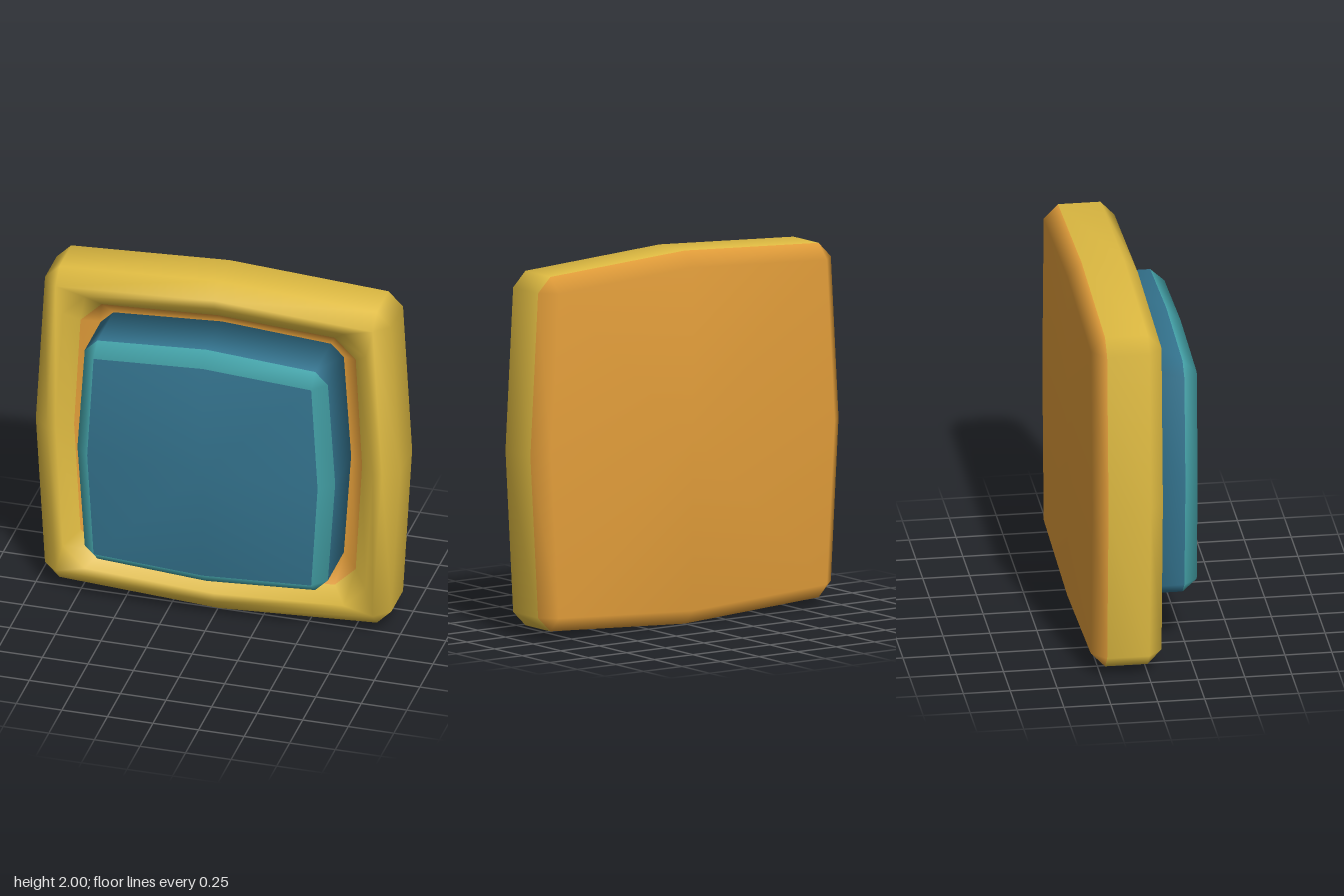
import * as THREE from 'three';
import { mergeVertices } from 'three/addons/utils/BufferGeometryUtils.js';

const mat = (name, color) => Object.assign(new THREE.MeshStandardMaterial({ color }), { name });

// Bulged square with cut corners: mid = reach at side centres, (a, b) = corner cut
function ring([mid, a, b, z]) {
  const pts = [];
  for (let k = 0; k < 4; k++) {
    const c = Math.round(Math.cos(k * Math.PI / 2)), s = Math.round(Math.sin(k * Math.PI / 2));
    for (const [x, y] of [[b, -a], [mid, 0], [b, a]]) pts.push([x * c - y * s, x * s + y * c, z]);
  }
  return pts;
}

// Closed smooth solid through rings ordered back to front, one material index per band
// (the first band is the back cap and the last is the front cap)
function loft(name, profile, bands, materials) {
  const rings = profile.map(ring), n = 12, pos = [];
  const geo = new THREE.BufferGeometry();
  const addBand = (m, build) => {
    const start = pos.length / 3;
    for (let j = 0; j < n; j++) build(j, (j + 1) % n);
    geo.addGroup(start, pos.length / 3 - start, m);
  };
  const tri = (...p) => p.forEach((v) => pos.push(...v));
  const first = rings[0], last = rings[rings.length - 1];
  addBand(bands[0], (j, k) => tri([0, 0, first[0][2]], first[k], first[j]));
  for (let i = 0; i + 1 < rings.length; i++) {
    const a = rings[i], b = rings[i + 1];
    addBand(bands[i + 1], (j, k) => { tri(a[j], a[k], b[k]); tri(a[j], b[k], b[j]); });
  }
  addBand(bands[bands.length - 1], (j, k) => tri([0, 0, last[0][2]], last[j], last[k]));
  geo.setAttribute('position', new THREE.Float32BufferAttribute(pos, 3));
  const smooth = mergeVertices(geo, 1e-4);
  smooth.computeVertexNormals();
  const mesh = new THREE.Mesh(smooth, materials);
  mesh.name = name;
  mesh.position.y = 1;
  return mesh;
}

export function createModel() {
  const yellow = mat('yellow', 0xdfbb42), orange = mat('orange', 0xe39e3a);
  const blue = mat('blue', 0x34748f), teal = mat('teal', 0x45a4aa);
  const group = new THREE.Group();
  group.name = 'pushButton';

  // Housing: orange back, yellow rim, orange recess
  group.add(loft('housing', [
    [0.92, 0.87, 0.87, -0.302],
    [1.0, 0.87, 0.95, -0.226],
    [1.0, 0.87, 0.95, 0],
    [0.92, 0.87, 0.87, 0.075],
    [0.87, 0.71, 0.83, 0.075],
    [0.79, 0.64, 0.755, 0],
    [0.71, 0.6, 0.67, -0.08],
  ], [0, 0, 1, 1, 1, 1, 0, 0], [orange, yellow]));

  // Raised key: blue sides and face, teal bevel
  group.add(loft('key', [
    [0.707, 0.597, 0.667, -0.1],
    [0.707, 0.597, 0.667, 0.226],
    [0.632, 0.597, 0.597, 0.302],
  ], [0, 0, 1, 0], [blue, teal]));

  return group;
}
